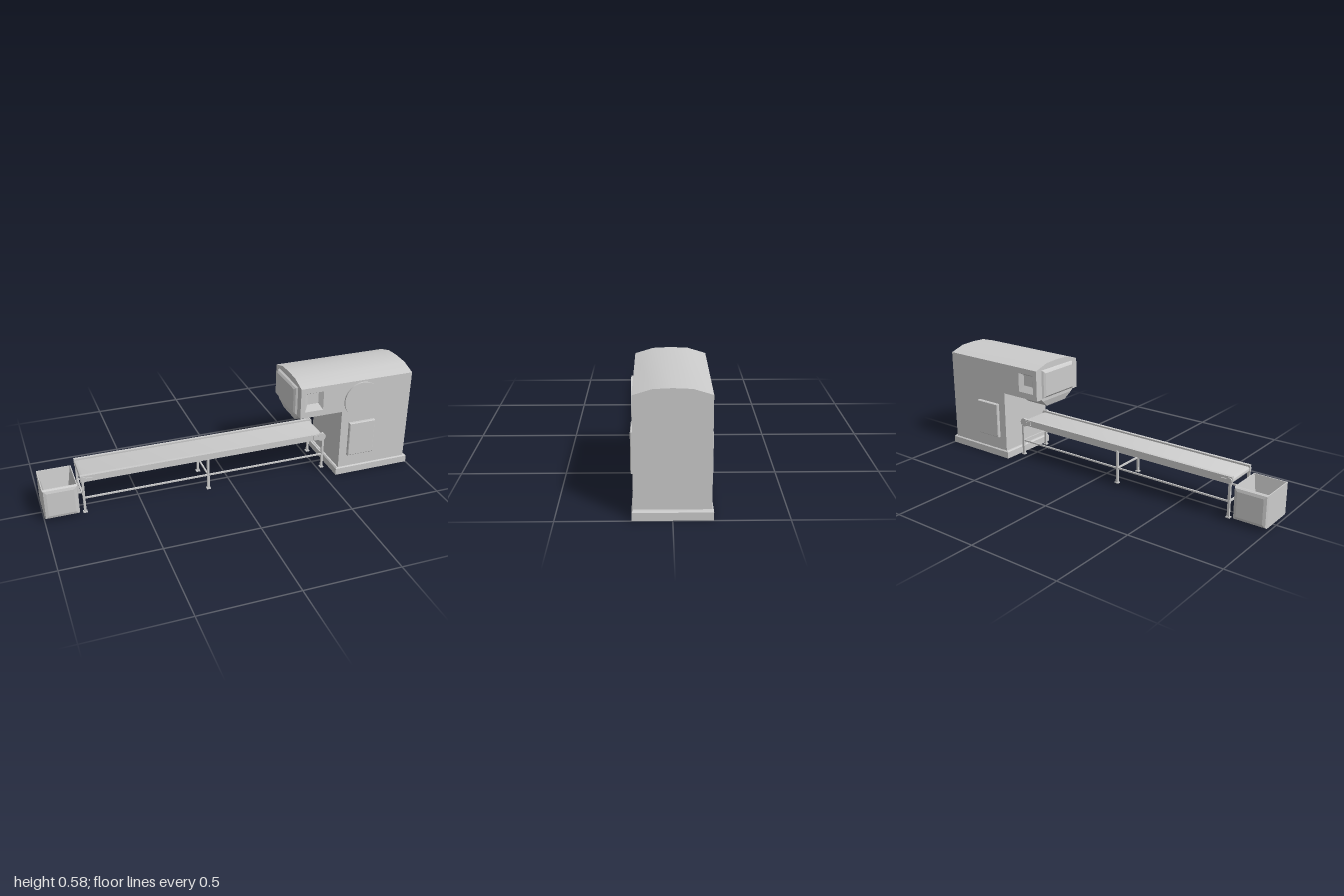
import * as THREE from 'three';
import { toCreasedNormals } from 'three/addons/utils/BufferGeometryUtils.js';

const grey = new THREE.MeshStandardMaterial({ color: 0xcccccc });
const flat = new THREE.MeshStandardMaterial({ color: 0xcccccc, flatShading: true });

// Skin of rectangular rings [halfWidth, halfHeight, z, yShift]; the last ring is capped, the first optionally.
// Rings running towards -z make a pocket facing +z.
function loft(rings, capStart = false) {
  const pos = [], index = [];
  for (const [w, h, z, dy = 0] of rings) pos.push(-w, dy - h, z, w, dy - h, z, w, dy + h, z, -w, dy + h, z);
  for (let r = 0; r < rings.length - 1; r++) {
    for (let i = 0; i < 4; i++) {
      const a = r * 4 + i, b = r * 4 + (i + 1) % 4;
      index.push(a, b, b + 4, a, b + 4, a + 4);
    }
  }
  const e = (rings.length - 1) * 4;
  index.push(e, e + 1, e + 2, e, e + 2, e + 3);
  if (capStart) index.push(0, 2, 1, 0, 3, 2);
  const g = new THREE.BufferGeometry();
  g.setAttribute('position', new THREE.Float32BufferAttribute(pos, 3));
  g.setIndex(index);
  const out = g.toNonIndexed();
  out.computeVertexNormals();
  return out;
}

function add(parent, name, geometry, x = 0, y = 0, z = 0, material = grey) {
  const mesh = new THREE.Mesh(geometry, material);
  mesh.name = name;
  mesh.position.set(x, y, z);
  parent.add(mesh);
  return mesh;
}

// Box given by its limits
function box(parent, name, x0, x1, y0, y1, z0, z1) {
  return add(parent, name, new THREE.BoxGeometry(x1 - x0, y1 - y0, z1 - z0),
    (x0 + x1) / 2, (y0 + y1) / 2, (z0 + z1) / 2);
}

// Cylinder along z
function rod(parent, name, r, length, x, y, z, sides = 24) {
  return add(parent, name, new THREE.CylinderGeometry(r, r, length, sides).rotateX(Math.PI / 2), x, y, z);
}

function rectPath(x0, x1, y0, y1) {
  return new THREE.Path([[x0, y0], [x0, y1], [x1, y1], [x1, y0]].map(p => new THREE.Vector2(...p))).closePath();
}

function buildMachine() {
  const g = new THREE.Group();
  g.name = 'machine';
  const depth = 0.167;

  // Base plinth with a bevelled top edge
  const plinth = loft([[0.217, 0.174, 0], [0.217, 0.174, 0.037], [0.211, 0.168, 0.043]], true).rotateX(-Math.PI / 2);
  add(g, 'plinth', plinth, 0.782, 0, 0, flat);

  // Column and overhanging hood
  const shape = new THREE.Shape([[0.58, 0.04], [0.98, 0.04], [0.98, 0.55], [0.34, 0.55], [0.34, 0.382], [0.58, 0.382]]
    .map(p => new THREE.Vector2(...p)));
  shape.holes.push(rectPath(0.365, 0.468, 0.415, 0.52));
  add(g, 'housing', new THREE.ExtrudeGeometry(shape, { depth: 2 * depth, bevelEnabled: false }), 0, 0, -depth);

  // Shallow arched roof
  const arch = new THREE.Shape([[-depth, 0.55], [depth, 0.55], [0.083, 0.576], [0, 0.58], [-0.083, 0.576]]
    .map(p => new THREE.Vector2(...p)));
  const roof = new THREE.ExtrudeGeometry(arch, { depth: 0.64, bevelEnabled: false }).rotateY(Math.PI / 2);
  add(g, 'roof', toCreasedNormals(roof, 0.5), 0.34);

  // Door panel and sunken window on both sides
  for (const s of [1, -1]) {
    const turn = s > 0 ? 0 : Math.PI;
    const door = loft([[0.075, 0.098, 0], [0.075, 0.098, 0.013], [0.071, 0.094, 0.017]]);
    add(g, 'door', door, 0.7, 0.213, s * depth, flat).rotation.y = turn;
    const win = loft([[0.0515, 0.0525, 0], [0.031, 0.03, -0.02, 0.011]]);
    add(g, 'windowRecess', win, 0.4165, 0.4675, s * depth, flat).rotation.y = turn;
  }

  // Round cover on the front only
  rod(g, 'roundCover', 0.1, 0.009, 0.69, 0.44, depth + 0.0045, 48);

  // Bevelled end panel of the hood
  const end = loft([[0.125, 0.079, 0], [0.12, 0.074, 0.01], [0.11, 0.064, 0.018]]).rotateY(-Math.PI / 2);
  add(g, 'hoodEndPanel', end, 0.34, 0.466, 0, flat);

  // Outlet under the hood
  const chute = loft([[0.078, 0.13, 0], [0.078, 0.118, 0.012], [0.067, 0.075, 0.049]]).rotateX(Math.PI / 2);
  add(g, 'outlet', chute, 0.419, 0.382, 0, flat);
  return g;
}

function buildConveyor() {
  const g = new THREE.Group();
  g.name = 'conveyor';
  const x0 = -0.79, x1 = 0.507, y = 0.203, r = 0.014;

  // Endless belt
  const loop = new THREE.Shape();
  loop.absarc(x1, y, r, -Math.PI / 2, Math.PI / 2, false);
  loop.absarc(x0, y, r, Math.PI / 2, Math.PI * 1.5, false);
  const belt = new THREE.ExtrudeGeometry(loop, { depth: 0.164, bevelEnabled: false, curveSegments: 10 });
  add(g, 'belt', toCreasedNormals(belt, 0.7), 0, 0, -0.082);

  for (const s of [1, -1]) {
    const side = (name, xa, xb, ya, yb, za, zb) =>
      box(g, name, xa, xb, ya, yb, Math.min(s * za, s * zb), Math.max(s * za, s * zb));
    side('sideRail', -0.805, 0.52, 0.19, 0.226, 0.083, 0.092);
    side('railLip', -0.805, 0.52, 0.222, 0.227, 0.08, 0.096);
    side('driveBracket', 0.46, 0.51, 0.196, 0.221, 0.09, 0.097);
    rod(g, 'driveBearing', 0.023, 0.012, x1, 0.208, s * 0.092);
    rod(g, 'idlerBearing', 0.015, 0.012, x0, 0.206, s * 0.092);
    side('tensioner', -0.785, -0.745, 0.2, 0.213, 0.09, 0.097);
    side('lowerRail', -0.795, 0.515, 0.095, 0.103, 0.088, 0.096);
  }

  // Three pairs of legs with feet and cross bars
  for (const x of [-0.795, -0.14, 0.515]) {
    for (const z of [-0.093, 0.093]) {
      box(g, 'leg', x - 0.006, x + 0.006, 0.02, 0.195, z - 0.006, z + 0.006);
      box(g, 'foot', x - 0.011, x + 0.011, 0.016, 0.022, z - 0.01, z + 0.01);
    }
    box(g, 'crossBar', x - 0.004, x + 0.004, 0.095, 0.103, -0.09, 0.09);
  }
  return g;
}

function buildBin() {
  const g = new THREE.Group();
  g.name = 'bin';
  // Outer walls, rim and tapered inside in one skin
  const tub = loft([[0.088, 0.096, 0.02], [0.088, 0.096, 0.188], [0.083, 0.091, 0.188], [0.06, 0.074, 0.06]], true)
    .rotateX(-Math.PI / 2);
  add(g, 'tub', tub, -0.91, 0, 0, flat);
  // Bevelled front and back panels
  for (const s of [1, -1]) {
    const panel = loft([[0.088, 0.084, 0], [0.083, 0.079, 0.009], [0.068, 0.065, 0.013]]);
    add(g, 'binPanel', panel, -0.91, 0.104, s * 0.096, flat).rotation.y = s > 0 ? 0 : Math.PI;
  }
  return g;
}

export function createModel() {
  const model = new THREE.Group();
  model.name = 'conveyorMachine';
  model.add(buildMachine(), buildConveyor(), buildBin());
  return model;
}
